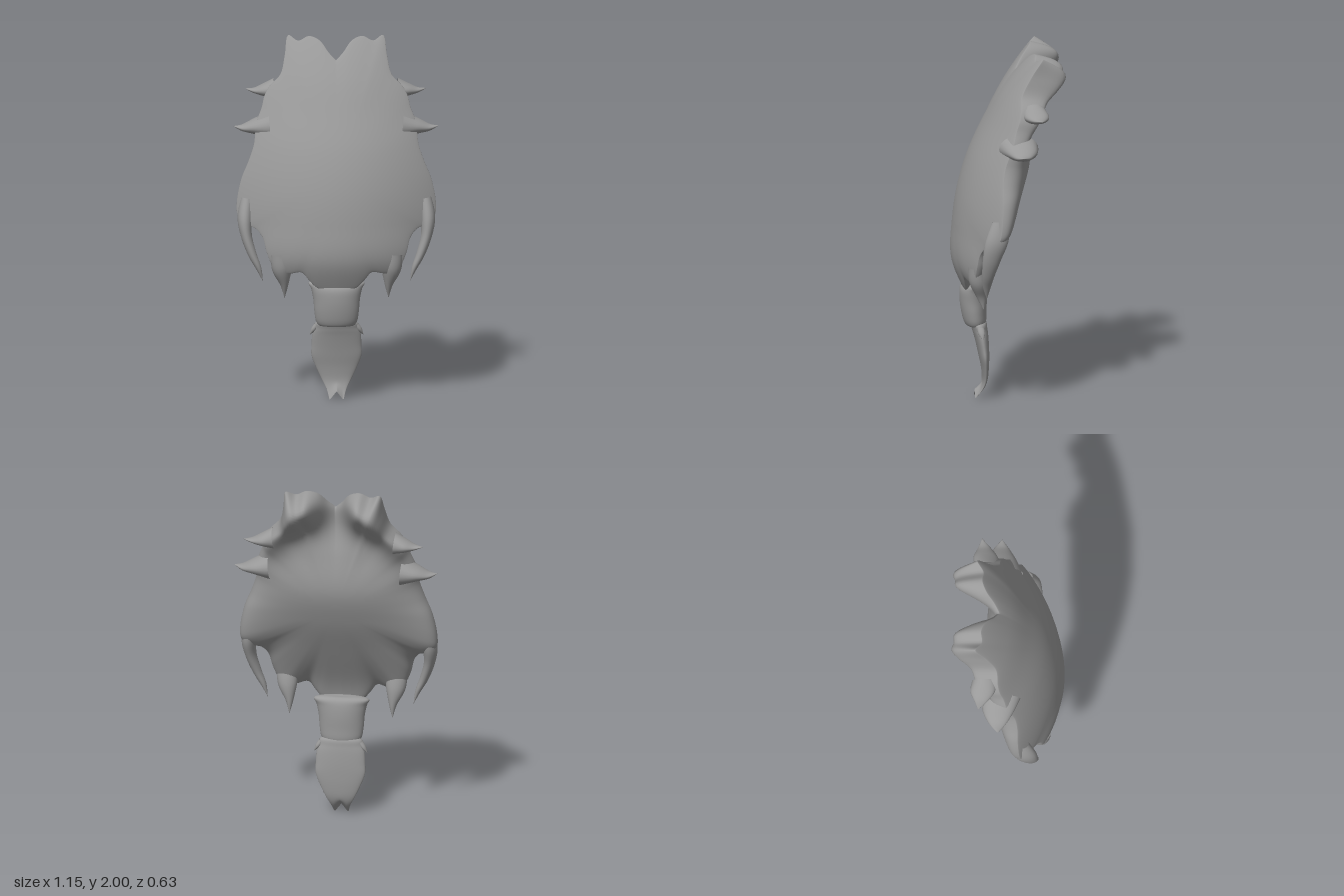
import * as THREE from 'three';
import { mergeVertices } from 'three/addons/utils/BufferGeometryUtils.js';

const material = new THREE.MeshStandardMaterial({ color: 0x999999, side: THREE.DoubleSide });

// Smooth curve through evenly spaced values
function spline(table, t) {
  const n = table.length - 1;
  const i = Math.min(Math.max(Math.floor(t), 0), n - 1);
  const f = Math.min(Math.max(t - i, 0), 1);
  const p1 = table[i], p2 = table[i + 1];
  const p0 = table[Math.max(i - 1, 0)], p3 = table[Math.min(i + 2, n)];
  return p1 + 0.5 * f * (p2 - p0 + f * (2 * p0 - 5 * p1 + 4 * p2 - p3 + f * (3 * (p1 - p2) + p3 - p0)));
}

const toColumns = (rows) => rows[0].map((_, c) => rows.map((r) => r[c]));

// Smooth mesh from a list of closed rings with equal point counts
function skin(name, rings) {
  const n = rings[0].length, index = [];
  for (let j = 0; j < rings.length - 1; j++) {
    for (let k = 0; k < n; k++) {
      const a = j * n + k, b = j * n + (k + 1) % n;
      index.push(a, b, a + n, b, b + n, a + n);
    }
  }
  const raw = new THREE.BufferGeometry();
  raw.setAttribute('position', new THREE.Float32BufferAttribute(rings.flat(2), 3));
  raw.setIndex(index);
  const geometry = mergeVertices(raw, 1e-5);
  geometry.computeVertexNormals();
  const mesh = new THREE.Mesh(geometry, material);
  mesh.name = name;
  return mesh;
}

// Half outline of the shell without its spikes, top notch to bottom: x, y
const OUTLINE = [
  [0, 1.88], [0.04, 1.92], [0.09, 1.98], [0.15, 2.0], [0.21, 1.975], [0.265, 2.0], [0.285, 1.9],
  [0.31, 1.8], [0.37, 1.735], [0.4, 1.68], [0.415, 1.62], [0.445, 1.54], [0.452, 1.48], [0.46, 1.42],
  [0.49, 1.33], [0.53, 1.23], [0.555, 1.1], [0.55, 1.03], [0.51, 0.985], [0.45, 0.965], [0.412, 0.92],
  [0.39, 0.84], [0.36, 0.77], [0.32, 0.725], [0.26, 0.725], [0.195, 0.735], [0.155, 0.69], [0.11, 0.645], [0, 0.615],
];

// Front depth on the centre line and shell thickness, from y = 0.4 in steps of 0.2
const FRONT = [0.19, 0.24, 0.303, 0.292, 0.26, 0.2, 0.11, 0.01, -0.125, -0.3];
const THICK = [0.05, 0.12, 0.25, 0.3, 0.34, 0.345, 0.27, 0.16, 0.08, 0.08];

// Swelling on the back that runs from each top lobe to the upper spike
function lobe(x, y) {
  const u = Math.abs(x) - 0.16;
  const v = y - (1.92 - 0.7 * Math.max(u, 0));
  return 0.2 * Math.exp(-((v / 0.15) ** 2) - (u / (u > 0 ? 0.34 : 0.09)) ** 2);
}

function createShell() {
  const curve = new THREE.CatmullRomCurve3(OUTLINE.map(([x, y]) => new THREE.Vector3(x, y, 0)));
  const half = curve.getPoints((OUTLINE.length - 1) * 5);
  const mirrored = half.slice(1, -1).reverse().map((p) => new THREE.Vector3(-p.x, p.y, 0));
  const outline = [...half, ...mirrored];
  const cy = 1.28, steps = 40, rings = [];
  // Rings go from the front centre out to the rim and back in behind
  for (let j = 0; j <= 2 * steps; j++) {
    const s = j === 2 * steps ? 0 : Math.sin((Math.PI * j) / (2 * steps));
    const reach = s ** 4;
    const round = Math.sqrt(1 - s * s);
    rings.push(outline.map((p) => {
      const a = Math.atan2(p.x / 0.43, (p.y - cy) / 0.56);
      const qx = 0.43 * Math.sin(a), qy = 0.56 * Math.cos(a);
      const x = qx * s + (p.x - qx) * reach;
      const y = cy + qy * s + (p.y - cy - qy) * reach;
      const row = (y - 0.4) / 0.2;
      let z = spline(FRONT, row) - 0.64 * x * x - 0.025 * (1 - round);
      if (j > steps) z -= spline(THICK, row) * round + lobe(x, y) * (1 - s ** 40);
      return [x, y, z];
    }));
  }
  return skin('shell', rings);
}

// Curved horn from base to tip; rows: x, y, z, half width, half depth
function createHorn(name, rows, side) {
  const sides = 24, sub = 6, rings = [];
  const columns = toColumns(rows);
  const at = (t) => columns.map((c) => spline(c, t));
  for (let j = 0; j <= (rows.length - 1) * sub; j++) {
    const t = j / sub;
    const [x, y, z, w, d] = at(t);
    const before = at(Math.max(t - 0.05, 0)), after = at(t + 0.05);
    const tangent = new THREE.Vector2(side * (after[0] - before[0]), after[1] - before[1]).normalize();
    rings.push(Array.from({ length: sides }, (_, k) => {
      const a = (2 * Math.PI * k) / sides;
      const across = Math.max(w, 0) * Math.sin(a);
      return [side * x + tangent.y * across, y - tangent.x * across, z + Math.max(d, 0) * Math.cos(a)];
    }));
  }
  return skin(name, rings);
}

const HORNS = {
  UpperSpike: [
    [0.34, 1.705, -0.14, 0.06, 0.07], [0.4, 1.698, -0.15, 0.036, 0.068],
    [0.455, 1.694, -0.158, 0.015, 0.036], [0.507, 1.702, -0.172, 0, 0],
  ],
  LowerSpike: [
    [0.37, 1.515, -0.05, 0.08, 0.11], [0.45, 1.508, -0.062, 0.045, 0.085],
    [0.52, 1.5, -0.064, 0.019, 0.045], [0.573, 1.51, -0.062, 0, 0],
  ],
  OuterHangingSpike: [
    [0.495, 1.13, 0.06, 0.035, 0.05], [0.51, 1.02, 0.085, 0.041, 0.065], [0.502, 0.92, 0.11, 0.031, 0.052],
    [0.47, 0.82, 0.128, 0.024, 0.036], [0.434, 0.74, 0.134, 0.015, 0.022], [0.41, 0.665, 0.132, 0, 0],
  ],
  InnerHangingSpike: [
    [0.31, 0.83, 0.185, 0.06, 0.045], [0.304, 0.74, 0.172, 0.055, 0.05],
    [0.291, 0.65, 0.153, 0.023, 0.028], [0.29, 0.57, 0.138, 0, 0],
  ],
  FinBarb: [
    [0.11, 0.42, 0.14, 0.015, 0.02], [0.13, 0.39, 0.135, 0.013, 0.018], [0.151, 0.36, 0.13, 0, 0],
  ],
};

// Lofted tail piece; rows from the bottom: y, half width, front z, back z, fork depth
function createSegment(name, rows) {
  const sides = 40, sub = 5, rings = [];
  const columns = toColumns(rows);
  for (let j = 0; j <= (rows.length - 1) * sub; j++) {
    const [y, w, front, back, fork] = columns.map((c) => spline(c, j / sub));
    rings.push(Array.from({ length: sides }, (_, k) => {
      const a = (2 * Math.PI * k) / sides;
      const x = Math.max(w, 0) * Math.sin(a);
      const lift = fork * Math.max(0, 1 - Math.abs(x) / 0.035);
      return [x, y + lift, (front + back) / 2 + ((front - back) / 2) * Math.cos(a)];
    }));
  }
  return skin(name, rings);
}

export function createModel() {
  const group = new THREE.Group();
  group.name = 'spikedShell';
  group.add(createShell());
  for (const [name, rows] of Object.entries(HORNS)) {
    group.add(createHorn('left' + name, rows, 1), createHorn('right' + name, rows, -1));
  }
  group.add(createSegment('tailJoint', [
    [0.43, 0.0, 0.16, 0.16, 0], [0.418, 0.085, 0.205, 0.115, 0], [0.44, 0.113, 0.225, 0.1, 0],
    [0.5, 0.124, 0.24, 0.098, 0], [0.57, 0.13, 0.248, 0.096, 0], [0.63, 0.142, 0.245, 0.1, 0],
    [0.665, 0.155, 0.22, 0.11, 0], [0.68, 0.1, 0.19, 0.13, 0], [0.68, 0.0, 0.16, 0.16, 0],
  ]));
  group.add(createSegment('tailFin', [
    [0.0, 0.04, 0.164, 0.16, 0.045], [0.05, 0.055, 0.135, 0.115, 0.02], [0.1, 0.08, 0.122, 0.094, 0],
    [0.17, 0.113, 0.128, 0.086, 0], [0.24, 0.139, 0.142, 0.084, 0], [0.3, 0.139, 0.155, 0.085, 0],
    [0.36, 0.136, 0.17, 0.089, 0], [0.4, 0.126, 0.182, 0.094, 0],
    [0.44, 0.108, 0.19, 0.102, 0], [0.46, 0.0, 0.15, 0.14, 0],
  ]));
  return group;
}
